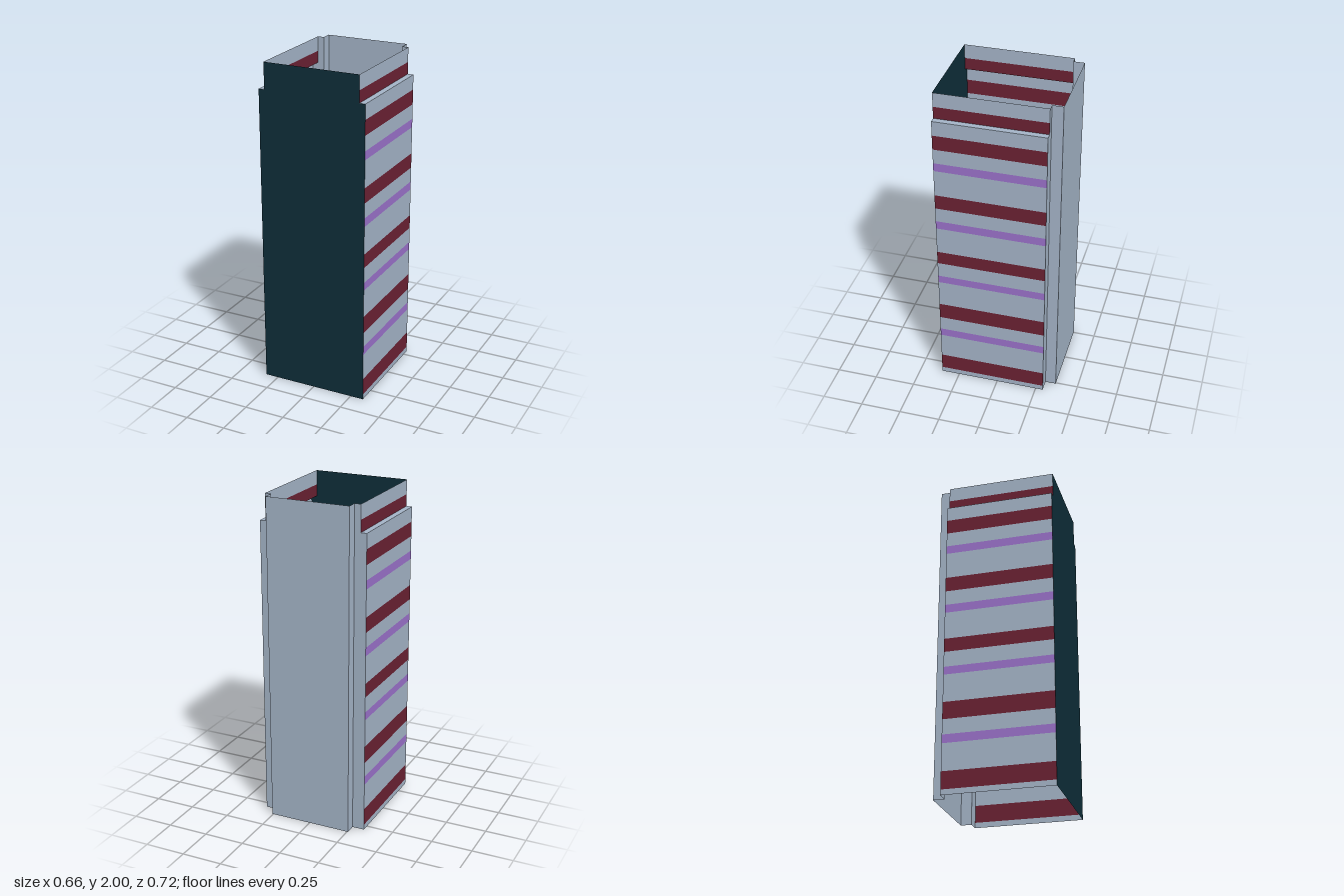
import * as THREE from 'three';

const W = 0.332, UPPER = 0.296, BACK = 0.257; // half widths: body, upper part, back panel
const FRONT = 0.362, STEP = -0.296, REAR = -0.362; // depths
const SHOULDER = 1.84, TOP = 2;

const mat = (name, color) => new THREE.MeshStandardMaterial({ name, color, side: THREE.DoubleSide });

export function createModel() {
  const group = new THREE.Group();
  const grey = mat('paleBlueGrey', 0xa5b5c8);
  const red = mat('darkRed', 0x6b2133);
  const purple = mat('purple', 0x9b72cb);
  const dark = mat('darkTeal', 0x0e2e3a);

  const add = (name, geometry, material) => {
    const mesh = new THREE.Mesh(geometry, material);
    mesh.name = name;
    group.add(mesh);
    return mesh;
  };
  // Upright sheet facing +/-x
  const sideSheet = (name, s, x, y0, y1, z0, z1, material) => {
    const m = add(name, new THREE.PlaneGeometry(z1 - z0, y1 - y0), material);
    m.rotation.y = s * Math.PI / 2;
    m.position.set(s * x, (y0 + y1) / 2, (z0 + z1) / 2);
  };
  // Upright sheet facing -z
  const backSheet = (name, x0, x1, y0, y1, z, material) => {
    const m = add(name, new THREE.PlaneGeometry(x1 - x0, y1 - y0), material);
    m.rotation.y = Math.PI;
    m.position.set((x0 + x1) / 2, (y0 + y1) / 2, z);
  };

  // Stepped front panel
  const outline = [[-W, 0], [W, 0], [W, SHOULDER], [UPPER, SHOULDER], [UPPER, TOP],
    [-UPPER, TOP], [-UPPER, SHOULDER], [-W, SHOULDER]].map(p => new THREE.Vector2(...p));
  add('frontPanel', new THREE.ShapeGeometry(new THREE.Shape(outline)), dark).position.z = FRONT;

  backSheet('backPanel', -BACK, BACK, 0, TOP, REAR, grey);

  // Side bands from bottom to top: upper edge and colour
  const bands = [
    [0.033, grey], [0.138, red], [0.303, grey], [0.355, purple], [0.447, grey], [0.552, red],
    [0.722, grey], [0.771, purple], [0.866, grey], [0.95, red], [1.12, grey], [1.172, purple],
    [1.262, grey], [1.353, red], [1.518, grey], [1.57, purple], [1.66, grey], [1.75, red],
    [SHOULDER, grey], [1.912, red], [TOP, grey],
  ];

  for (const s of [1, -1]) {
    let y = 0;
    for (const [top, material] of bands) {
      const x = y < SHOULDER ? W : UPPER;
      sideSheet(material === grey ? 'sideWall' : 'sideStripe', s, x, y, top, STEP, FRONT, material);
      y = top;
    }
    // Ledge at the shoulder
    const ledge = add('shoulderLedge', new THREE.PlaneGeometry(W - UPPER, FRONT - STEP), grey);
    ledge.rotation.x = -Math.PI / 2;
    ledge.position.set(s * (W + UPPER) / 2, SHOULDER, (FRONT + STEP) / 2);
    // Notched rear corner
    sideSheet('cornerSide', s, BACK, 0, TOP, REAR, STEP, grey);
    const span = (a, b) => (s > 0 ? [a, b] : [-b, -a]);
    backSheet('cornerReturn', ...span(BACK, UPPER), 0, TOP, STEP, grey);
    backSheet('cornerReturnOuter', ...span(UPPER, W), 0, SHOULDER, STEP, grey);
  }
  return group;
}
